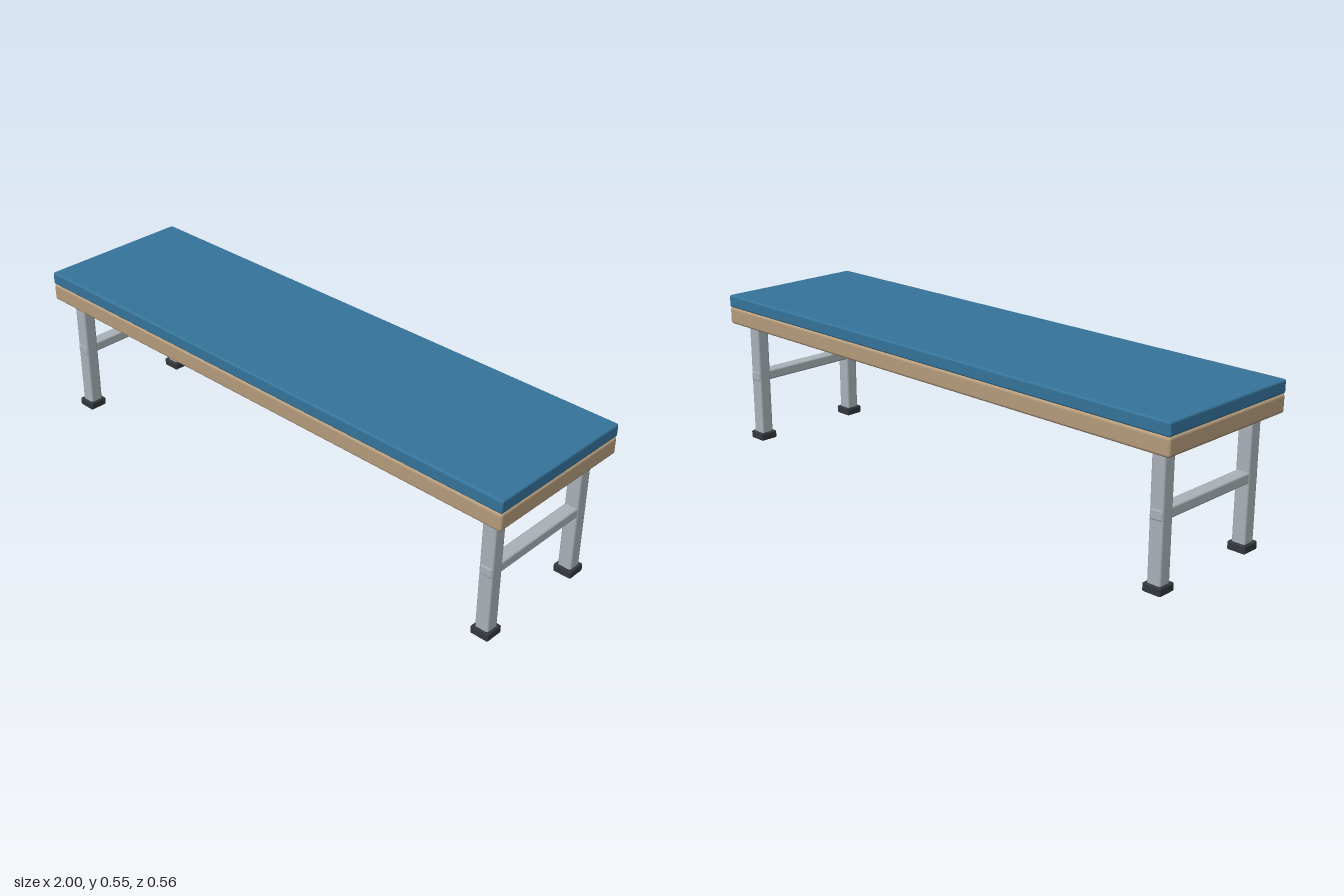
import * as THREE from 'three';
import { RoundedBoxGeometry } from 'three/addons/geometries/RoundedBoxGeometry.js';

const material = (color) => new THREE.MeshStandardMaterial({ color });

// Rounded block given its size, centre and edge radius
function block(name, [w, h, d], [x, y, z], radius, mat) {
  const mesh = new THREE.Mesh(new RoundedBoxGeometry(w, h, d, 4, radius), mat);
  mesh.name = name;
  mesh.position.set(x, y, z);
  return mesh;
}

export function createModel() {
  const bench = new THREE.Group();
  bench.name = 'bench';
  const blue = material(0x35749b);
  const wood = material(0xb59c7c);
  const metal = material(0xaab2b8);
  const rubber = material(0x33373c);

  // Padded top on a wooden base
  bench.add(block('cushion', [2, 0.045, 0.556], [0, 0.5235, 0], 0.007, blue));
  bench.add(block('seatBase', [2, 0.062, 0.556], [0, 0.471, 0], 0.01, wood));

  // One leg frame at each end: two legs with feet, joined by a rail
  for (const side of [1, -1]) {
    const frame = new THREE.Group();
    frame.name = side > 0 ? 'leftLegFrame' : 'rightLegFrame';
    frame.position.x = side * 0.928;
    for (const end of [1, -1]) {
      const place = end > 0 ? 'front' : 'back';
      const z = end * 0.2065;
      frame.add(block(place + 'Leg', [0.049, 0.43, 0.049], [0, 0.226, z], 0.008, metal));
      frame.add(block(place + 'Foot', [0.066, 0.028, 0.066], [0, 0.014, z], 0.005, rubber));
    }
    frame.add(block('crossRail', [0.046, 0.037, 0.466], [0, 0.2435, 0], 0.007, metal));
    bench.add(frame);
  }
  return bench;
}
